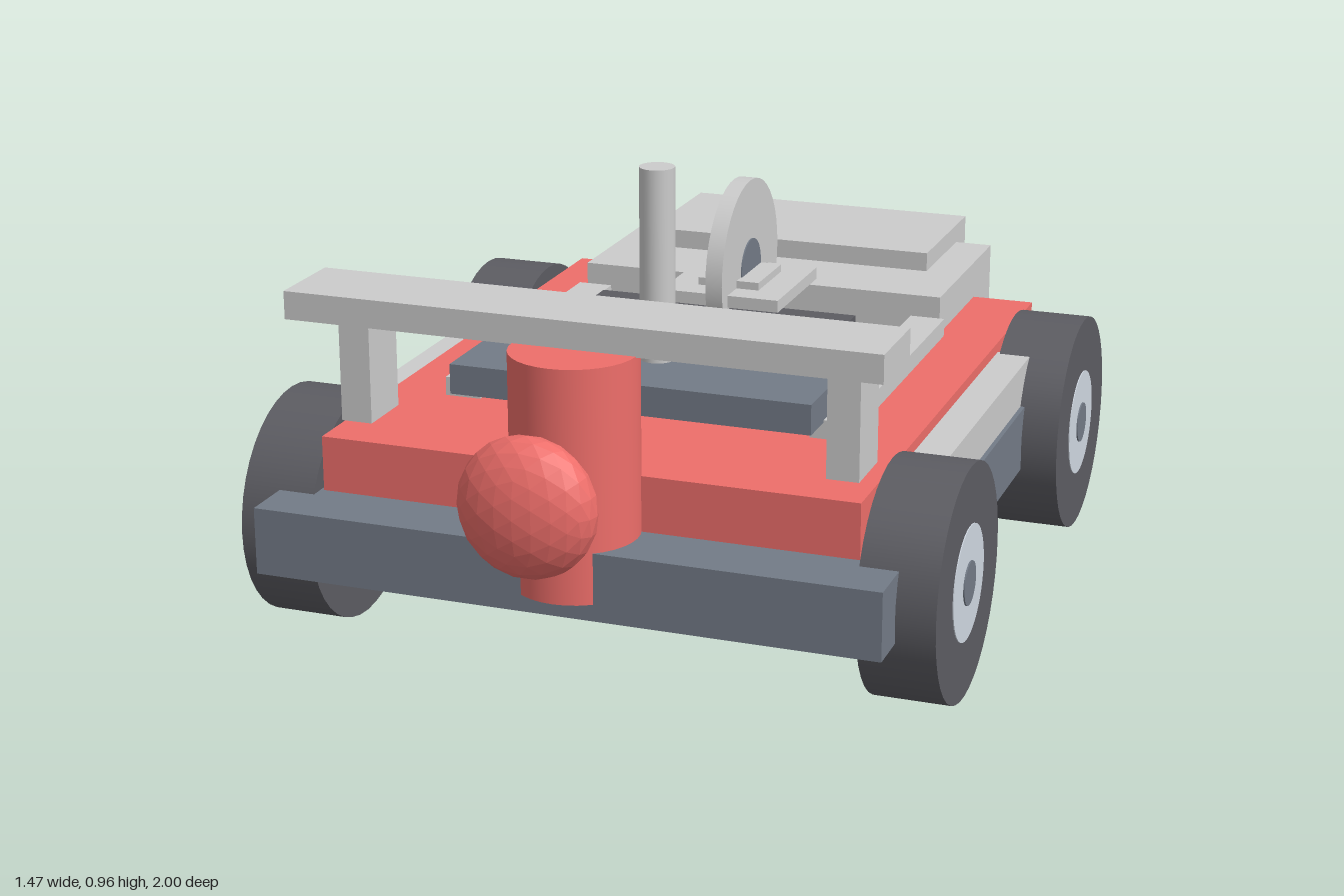
import * as THREE from 'three';

const mat = (color, extra = {}) => new THREE.MeshStandardMaterial({ color, ...extra });

export function createModel() {
  const root = new THREE.Group();
  const grey = mat(0xcccccc), red = mat(0xee6e6a), slate = mat(0x737b87);
  const dark = mat(0x5c5c62), silver = mat(0xd0d8e2);

  const add = (name, geometry, material, x, y, z, parent = root) => {
    const mesh = new THREE.Mesh(geometry, material);
    mesh.name = name;
    mesh.position.set(x, y, z);
    parent.add(mesh);
    return mesh;
  };
  // Box given by its extents on each axis
  const box = (name, material, x0, x1, y0, y1, z0, z1) =>
    add(name, new THREE.BoxGeometry(x1 - x0, y1 - y0, z1 - z0), material,
      (x0 + x1) / 2, (y0 + y1) / 2, (z0 + z1) / 2);
  // Disc or drum whose axis runs along x
  const axle = (name, material, r, width, x, y, z, parent) => {
    const g = new THREE.CylinderGeometry(r, r, width, 40).rotateZ(Math.PI / 2);
    return add(name, g, material, x, y, z, parent);
  };

  // Chassis and body
  box('chassis', slate, -0.65, 0.65, 0.2, 0.34, -0.9, 0.785);
  box('body', red, -0.565, 0.565, 0.34, 0.455, -0.76, 0.645);

  // Deck plates in the middle
  box('deckPlate', dark, -0.295, 0.295, 0.455, 0.55, -0.22, 0.285);
  box('dashboard', slate, -0.39, 0.39, 0.49, 0.554, 0.2, 0.405);

  // Rear box, lid and bumper
  box('rearBox', grey, -0.425, 0.425, 0.4, 0.54, -0.915, -0.448);
  box('rearLid', grey, -0.34, 0.34, 0.495, 0.583, -1, -0.645);
  box('rearBumper', grey, -0.585, 0.585, 0.29, 0.332, -0.987, -0.89);

  // Front crossbar
  box('crossbar', grey, -0.615, 0.615, 0.708, 0.766, 0.505, 0.685);

  // Parts mirrored left and right
  for (const s of [-1, 1]) {
    const pair = (name, cx, w, y0, y1, z0, z1) =>
      box(name, grey, s * cx - w / 2, s * cx + w / 2, y0, y1, z0, z1);
    pair('sideStep', 0.603, 0.075, 0.34, 0.433, -0.43, 0.31);
    pair('deckRail', 0.4, 0.078, 0.455, 0.495, -0.435, 0.32);
    pair('crossbarPost', 0.512, 0.066, 0.475, 0.708, 0.467, 0.592);

    for (const z of [0.455, -0.565]) {
      const wheel = new THREE.Group();
      wheel.name = z > 0 ? 'frontWheel' : 'rearWheel';
      wheel.position.set(s * 0.651, 0.243, z);
      axle('tyre', dark, 0.241, 0.157, 0, 0, 0, wheel);
      axle('rim', silver, 0.118, 0.161, 0, 0, 0, wheel);
      axle('hub', slate, 0.045, 0.167, 0, 0, 0, wheel);
      root.add(wheel);
    }
  }

  // Upright disc on its two plates
  box('discPlate', grey, -0.135, 0.135, 0.556, 0.583, -0.448, -0.163);
  box('discClamp', grey, -0.07, 0.07, 0.583, 0.6, -0.387, -0.225);
  axle('disc', grey, 0.195, 0.038, 0, 0.612, -0.32);
  axle('discHub', slate, 0.066, 0.044, 0, 0.606, -0.32);

  // Mast, front drum and nose
  add('mast', new THREE.CylinderGeometry(0.037, 0.037, 0.465, 24), grey, 0, 0.73, 0.223);
  add('frontDrum', new THREE.CylinderGeometry(0.128, 0.128, 0.475, 32), red, 0, 0.4725, 0.682);
  add('nose', new THREE.IcosahedronGeometry(1, 3), mat(0xee6e6a, { flatShading: true }), 0, 0.473, 0.92)
    .scale.set(0.14, 0.141, 0.077);

  return root;
}
